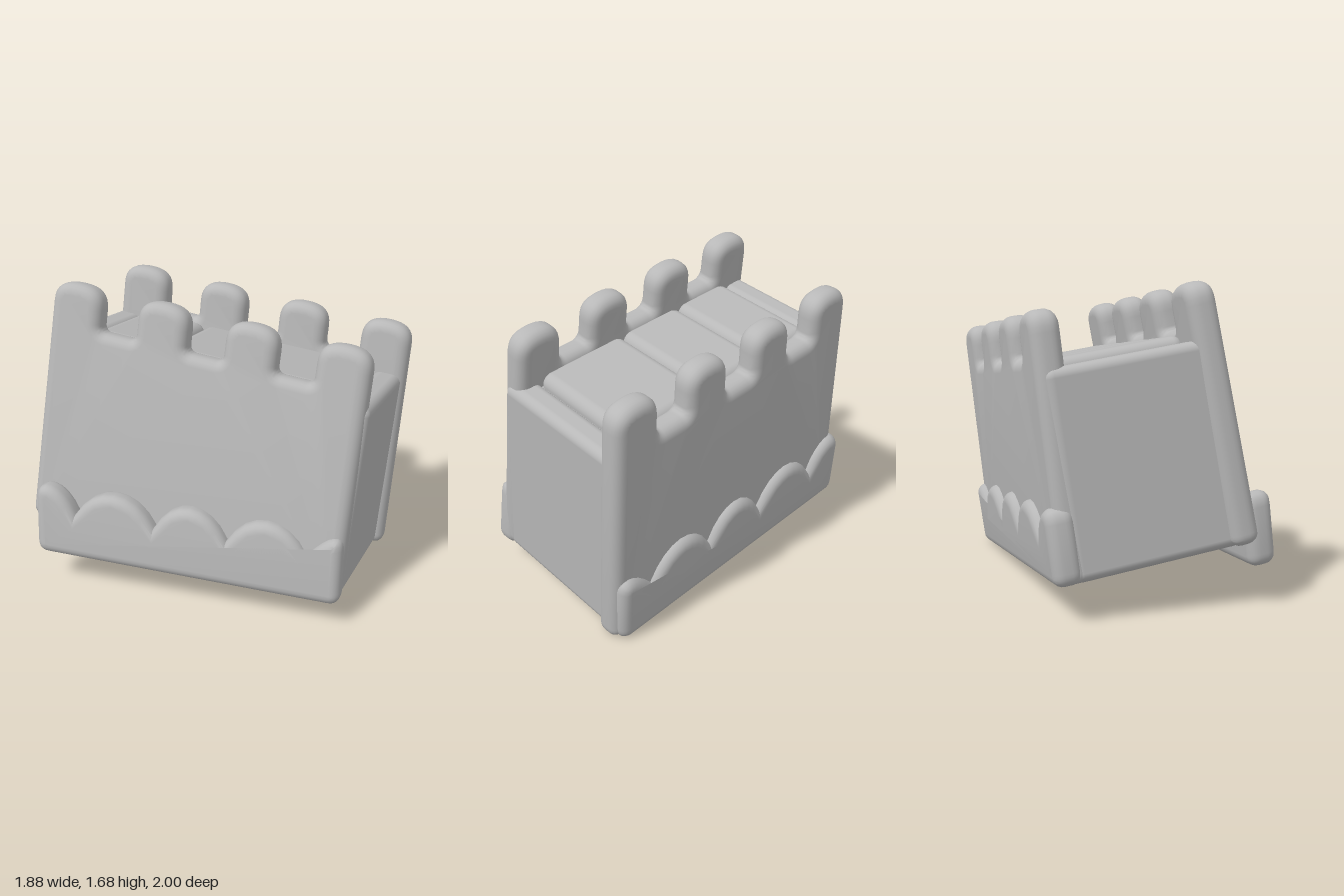
import * as THREE from 'three';
import { toCreasedNormals } from 'three/addons/utils/BufferGeometryUtils.js';
import { RoundedBoxGeometry } from 'three/addons/geometries/RoundedBoxGeometry.js';

const stone = new THREE.MeshStandardMaterial({ color: 0xb8b8b8 });
stone.name = 'soft grey';

// Leaning axes of the toy: across its width, up, and along its length
const axes = new THREE.Matrix4().makeBasis(
  new THREE.Vector3(0.916, -0.158, -0.368),
  new THREE.Vector3(0.145, 0.985, 0.005),
  new THREE.Vector3(0.404, -0.1145, 0.907),
);

// Pillowy slab: outline drawn in (length, height), thickness across the width
function slab(shape, thickness, bevel) {
  const depth = thickness - 2 * bevel;
  const geo = new THREE.ExtrudeGeometry(shape, {
    depth, bevelEnabled: true, bevelThickness: bevel, bevelSize: bevel,
    bevelOffset: -bevel, bevelSegments: 5, curveSegments: 8,
  });
  geo.translate(0, 0, -depth / 2);
  geo.rotateY(-Math.PI / 2);
  return toCreasedNormals(geo, 0.8);
}

// Side wall outline with four rounded merlons, a little longer at the foot
function wallShape() {
  const s = new THREE.Shape();
  const foot = 0.9, low = -0.655, gap = 0.48, top = 0.715, h = 0.142;
  s.moveTo(-foot + 0.06, low);
  s.lineTo(foot - 0.06, low);
  s.quadraticCurveTo(foot, low, foot, low + 0.06);
  for (const c of [0.735, 0.245, -0.245, -0.735]) {
    if (c < 0.7) {
      s.lineTo(c + h + 0.04, gap);
      s.quadraticCurveTo(c + h, gap, c + h, gap + 0.04);
    }
    s.lineTo(c + h, top - 0.12);
    s.bezierCurveTo(c + h, top - 0.03, c + 0.09, top, c, top);
    s.bezierCurveTo(c - 0.09, top, c - h, top - 0.03, c - h, top - 0.12);
    if (c > -0.7) {
      s.lineTo(c - h, gap + 0.04);
      s.quadraticCurveTo(c - h, gap, c - h - 0.04, gap);
    }
  }
  s.lineTo(-foot, low + 0.06);
  s.quadraticCurveTo(-foot, low, -foot + 0.06, low);
  return s;
}

// Scalloped skirt outline
function skirtShape(end) {
  const s = new THREE.Shape();
  const low = -0.69, valley = -0.435, peak = -0.285;
  const cuts = [0.67, 0.23, -0.18, -0.635];
  s.moveTo(-end + 0.07, low);
  s.lineTo(end - 0.07, low);
  s.quadraticCurveTo(end, low, end, low + 0.07);
  s.lineTo(end, peak - 0.09);
  s.bezierCurveTo(end, peak, 0.79, peak, cuts[0], valley);
  for (let i = 0; i < 3; i++) {
    const a = cuts[i], b = cuts[i + 1], k = (a - b) * 0.25;
    s.bezierCurveTo(a - k, peak + 0.05, b + k, peak + 0.05, b, valley);
  }
  s.bezierCurveTo(-0.71, peak + 0.02, -end, peak + 0.04, -end, peak - 0.08);
  s.lineTo(-end, low + 0.07);
  s.quadraticCurveTo(-end, low, -end + 0.07, low);
  return s;
}

export function createModel() {
  const model = new THREE.Group();
  model.name = 'castleBox';
  const body = new THREE.Group();
  body.name = 'tiltedBody';
  body.position.set(0.0745, 0.832, 0.012);
  model.add(body);

  const add = (name, geo, x, y, z) => {
    geo.translate(x, y, z).applyMatrix4(axes);
    const mesh = new THREE.Mesh(geo, stone);
    mesh.name = name;
    body.add(mesh);
  };
  const box = (name, w, y0, y1, z0, z1, r) =>
    add(name, new RoundedBoxGeometry(w, y1 - y0, z1 - z0, 5, r), 0, (y0 + y1) / 2, (z0 + z1) / 2);

  // Core with a slightly recessed underside
  box('core', 0.8, -0.63, 0.39, -0.8, 0.8, 0.03);

  // End panels
  box('frontPanel', 0.9, -0.655, 0.42, 0.72, 0.88, 0.05);
  box('backPanel', 0.9, -0.655, 0.42, -0.88, -0.72, 0.05);

  // Cushions on top
  const seams = [-0.7, -0.3, 0.14, 0.72];
  for (let i = 0; i < 3; i++) box('cushion', 0.7, 0.2, 0.46, seams[i], seams[i + 1], 0.06);

  // Crenellated side walls, splayed a little at the foot
  const wall = () => slab(wallShape(), 0.155, 0.06);
  add('leftWall', wall().rotateZ(0.033), 0.42, 0, 0.02);
  add('rightWall', wall().rotateZ(-0.045), -0.42, 0, -0.02);

  // Scalloped skirts; the right one sags and flares towards the back
  add('leftSkirt', slab(skirtShape(0.895), 0.15, 0.055), 0.48, 0.035, 0);
  add('rightSkirt', slab(skirtShape(0.86), 0.15, 0.055).rotateX(-0.085).rotateY(0.052), -0.53, -0.05, -0.02);

  return model;
}
